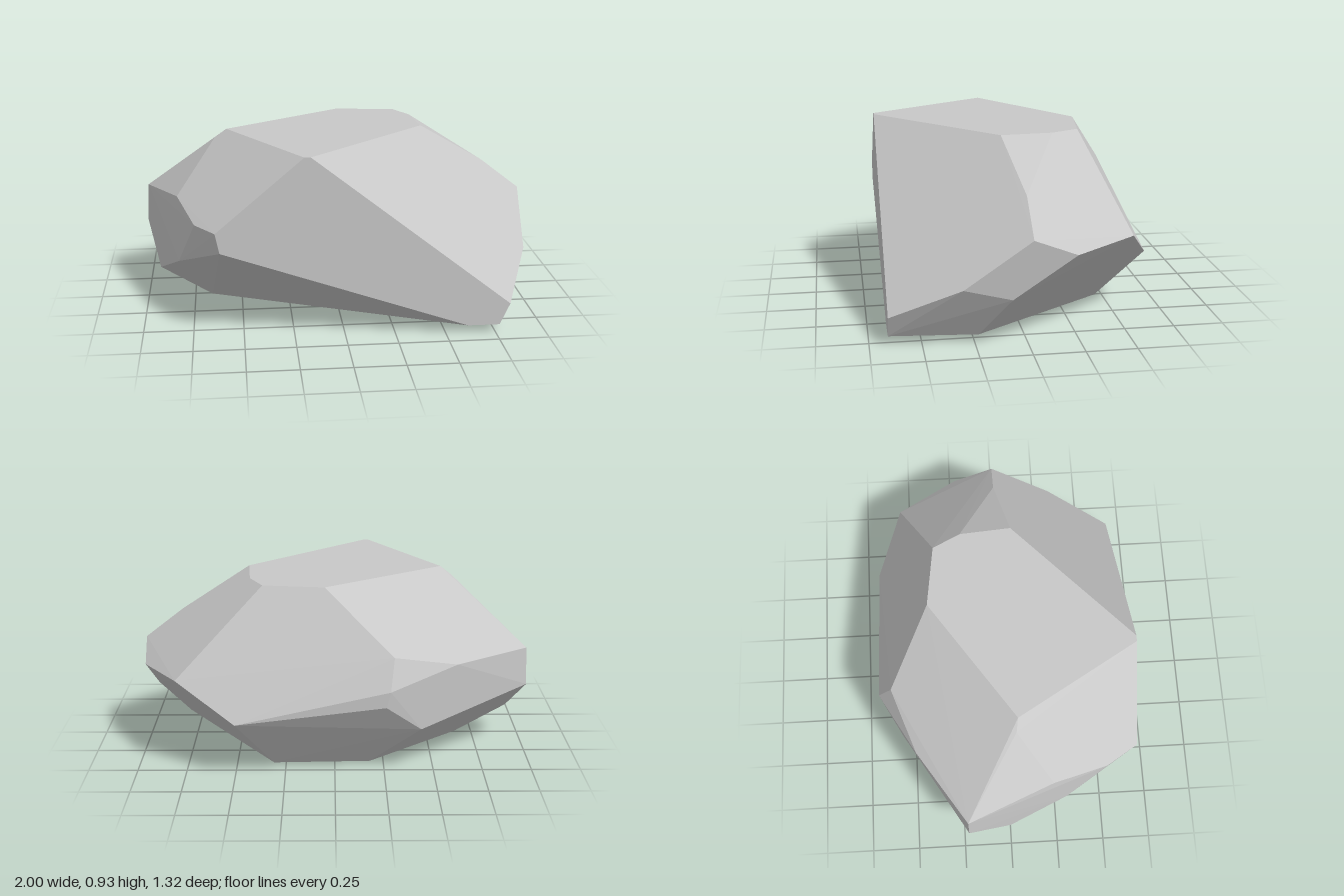
import * as THREE from 'three';
import { ConvexGeometry } from 'three/addons/geometries/ConvexGeometry.js';

// A faceted boulder: the convex hull of its corner points
export function createModel() {
  const group = new THREE.Group();
  group.name = 'rock';

  const stone = new THREE.MeshStandardMaterial({ color: 0xc8c8c8 });
  stone.name = 'pale stone grey';

  // flat top
  const top = [
    [-0.2, 0.925, 0.66], [-0.17, 0.925, 0.66], [0.45, 0.925, 0.07], [0.43, 0.925, -0.19],
    [0.36, 0.925, -0.33], [0.05, 0.925, -0.37], [-0.56, 0.925, 0.05],
  ];
  // flat front
  const front = [
    [0.82, 0.15, 0.66], [0.77, 0.04, 0.66], [0.61, 0.04, 0.66], [-0.61, 0.46, 0.66], [-0.63, 0.56, 0.66],
  ];
  // +x side
  const left = [
    [0.8, 0.71, 0], [1, 0.555, 0], [0.98, 0.47, -0.21], [0.79, 0.49, -0.52],
    [0.965, 0.32, 0.32], [0.96, 0.26, 0.09],
  ];
  // back
  const back = [
    [0.49, 0.31, -0.66], [-0.27, 0.48, -0.66], [-0.25, 0.4, -0.66],
    [-0.29, 0.63, -0.585], [-0.61, 0.556, -0.47], [-0.43, 0.245, -0.555],
  ];
  // -x side
  const right = [
    [-0.62, 0.88, 0.04], [-0.99, 0.56, -0.22], [-1, 0.36, -0.22], [-0.93, 0.16, 0],
    [-0.82, 0.3, 0.3], [-0.82, 0.62, 0.22], [-0.73, 0.555, 0.5],
  ];
  // underside
  const base = [
    [-0.66, 0, 0.01], [-0.18, 0.005, -0.4], [0.31, 0.02, -0.45], [0.81, 0.04, 0.23],
  ];

  const corners = [top, front, left, back, right, base].flat().map((p) => new THREE.Vector3(...p));
  const boulder = new THREE.Mesh(new ConvexGeometry(corners), stone);
  boulder.name = 'boulder';
  group.add(boulder);
  return group;
}
